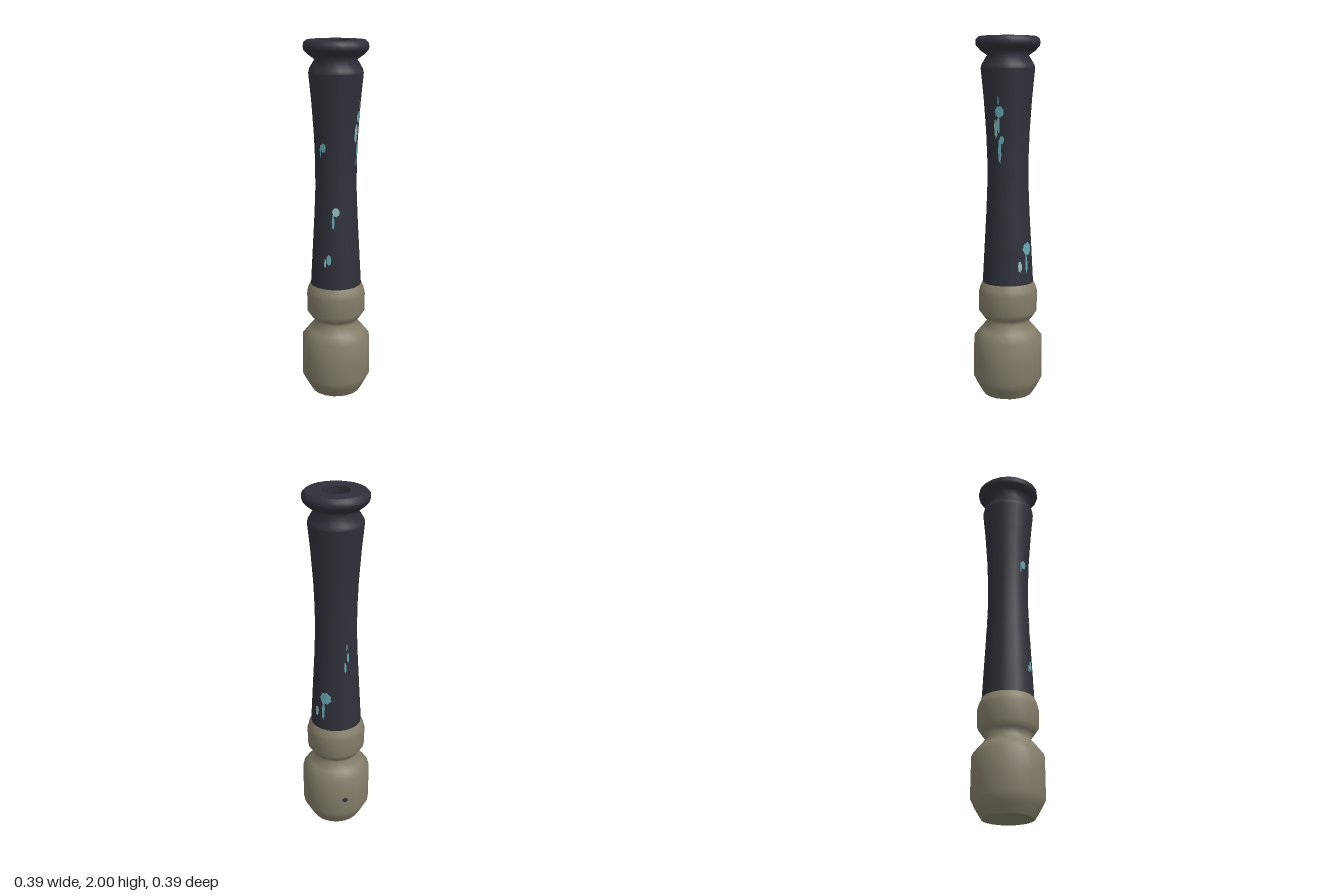
import * as THREE from 'three';

const SIDES = 20;
const STEP = (Math.PI * 2) / SIDES;
const v2 = ([r, y]) => new THREE.Vector2(r, y);

const BASE = [[0.14, 0], [0.17, 0.05], [0.195, 0.1], [0.195, 0.22], [0.193, 0.33], [0.157, 0.375], [0.117, 0.42],
  [0.14, 0.45], [0.164, 0.485], [0.166, 0.59], [0.158, 0.62], [0.143, 0.65]];
const GRIP = [[0.143, 0.65], [0.132, 0.85], [0.121, 1.05], [0.115, 1.2], [0.115, 1.35], [0.121, 1.5],
  [0.134, 1.68], [0.149, 1.83]];
const POMMEL = [[0.149, 1.83], [0.145, 1.85], [0.115, 1.9], [0.15, 1.925], [0.174, 1.95], [0.177, 1.965], [0.175, 1.985], [0.158, 2]];
const HOLE = 0.075, HOLE_FLOOR = 1.85;

// Radius of a lathed profile at height y
function radiusAt(profile, y) {
  for (let i = 1; i < profile.length; i++) {
    const [r0, y0] = profile[i - 1], [r1, y1] = profile[i];
    if (y <= y1) return r0 + ((r1 - r0) * (y - y0)) / (y1 - y0);
  }
  return profile[profile.length - 1][0];
}

// Point just above the faceted surface
function onSurface(profile, angle, y) {
  const local = angle - (Math.floor(angle / STEP) + 0.5) * STEP;
  const r = (radiusAt(profile, y) * Math.cos(STEP / 2)) / Math.cos(local) + 0.002;
  return [r * Math.sin(angle), y, r * Math.cos(angle)];
}

// Thin irregular patch following the surface; width and height in units
function patchGeometry(profile, degrees, y, width, height, rough) {
  const angle = THREE.MathUtils.degToRad(degrees);
  const r = radiusAt(profile, y), n = 18;
  const pos = [...onSurface(profile, angle, y)], index = [];
  for (const ring of [0.5, 1]) {
    for (let i = 0; i < n; i++) {
      const t = (i / n) * Math.PI * 2;
      const k = ring * (1 + rough * Math.sin(i * 2.4 + degrees));
      pos.push(...onSurface(profile, angle + (Math.cos(t) * k * width) / 2 / r, y + (Math.sin(t) * k * height) / 2));
    }
  }
  for (let i = 0; i < n; i++) {
    const a = 1 + i, b = 1 + ((i + 1) % n);
    index.push(0, a, b, a, a + n, b + n, a, b + n, b);
  }
  const g = new THREE.BufferGeometry();
  g.setAttribute('position', new THREE.Float32BufferAttribute(pos, 3));
  g.setIndex(index);
  g.computeVertexNormals();
  return g;
}

function material(name, color) {
  const m = new THREE.MeshStandardMaterial({ color });
  m.name = name;
  return m;
}

export function createModel() {
  const model = new THREE.Group();
  model.name = 'turnedHandle';
  const dark = material('charcoal', 0x30303a);
  const olive = material('weatheredOlive', 0x857f6a);
  const teal = material('teal', 0x66a9b5);
  const pale = material('paleTeal', 0x8fbcbc);

  const add = (name, geometry, mat, parent = model) => {
    const mesh = new THREE.Mesh(geometry, mat);
    mesh.name = name;
    parent.add(mesh);
    return mesh;
  };
  const lathe = (name, points, mat) => add(name, new THREE.LatheGeometry(points.map(v2), SIDES), mat);

  // Turned body
  lathe('base', BASE, olive);
  lathe('grip', GRIP, dark);
  lathe('pommel', POMMEL, dark);
  lathe('pommelTop', [[0.158, 2], [HOLE, 2]], dark);
  lathe('socketWall', [[HOLE, 2], [HOLE, HOLE_FLOOR]], dark);

  // Flat discs: underside and coloured socket floor
  const underside = add('underside', new THREE.CircleGeometry(0.14, SIDES), olive);
  underside.rotation.set(Math.PI / 2, 0, Math.PI / 2);
  const floor = add('socketFloor', new THREE.CircleGeometry(HOLE, SIDES), teal);
  floor.rotation.x = -Math.PI / 2;
  floor.position.y = HOLE_FLOOR;

  // Small dark peg hole on the base
  add('pegHole', patchGeometry(BASE, 141, 0.2, 0.034, 0.028, 0), dark);

  // Worn paint: angle from the front, height, width, length, colour
  const marks = new THREE.Group();
  marks.name = 'paintMarks';
  model.add(marks);
  [
    [25, 1.6, 0.05, 0.06, teal], [23, 1.66, 0.008, 0.05, teal], [14, 1.51, 0.022, 0.1, pale],
    [30, 1.45, 0.026, 0.045, teal], [24, 1.39, 0.018, 0.13, teal], [22, 1.53, 0.014, 0.09, teal],
    [99, 0.85, 0.068, 0.07, teal], [94, 0.77, 0.018, 0.11, teal], [75, 0.755, 0.026, 0.06, pale],
    [314, 1.09, 0.04, 0.05, pale], [307, 1.035, 0.014, 0.08, teal],
    [297, 0.82, 0.028, 0.06, teal], [288, 0.8, 0.012, 0.05, pale],
    [279, 1.44, 0.035, 0.05, teal], [270, 1.42, 0.01, 0.07, teal],
    [158, 1.1, 0.012, 0.06, teal], [150, 1.04, 0.014, 0.06, teal], [155, 1.16, 0.006, 0.04, pale],
  ].forEach(([deg, y, w, h, mat], i) => {
    add(`paintMark${i + 1}`, patchGeometry(GRIP, deg, y, w, h, 0.12), mat, marks);
  });

  return model;
}
